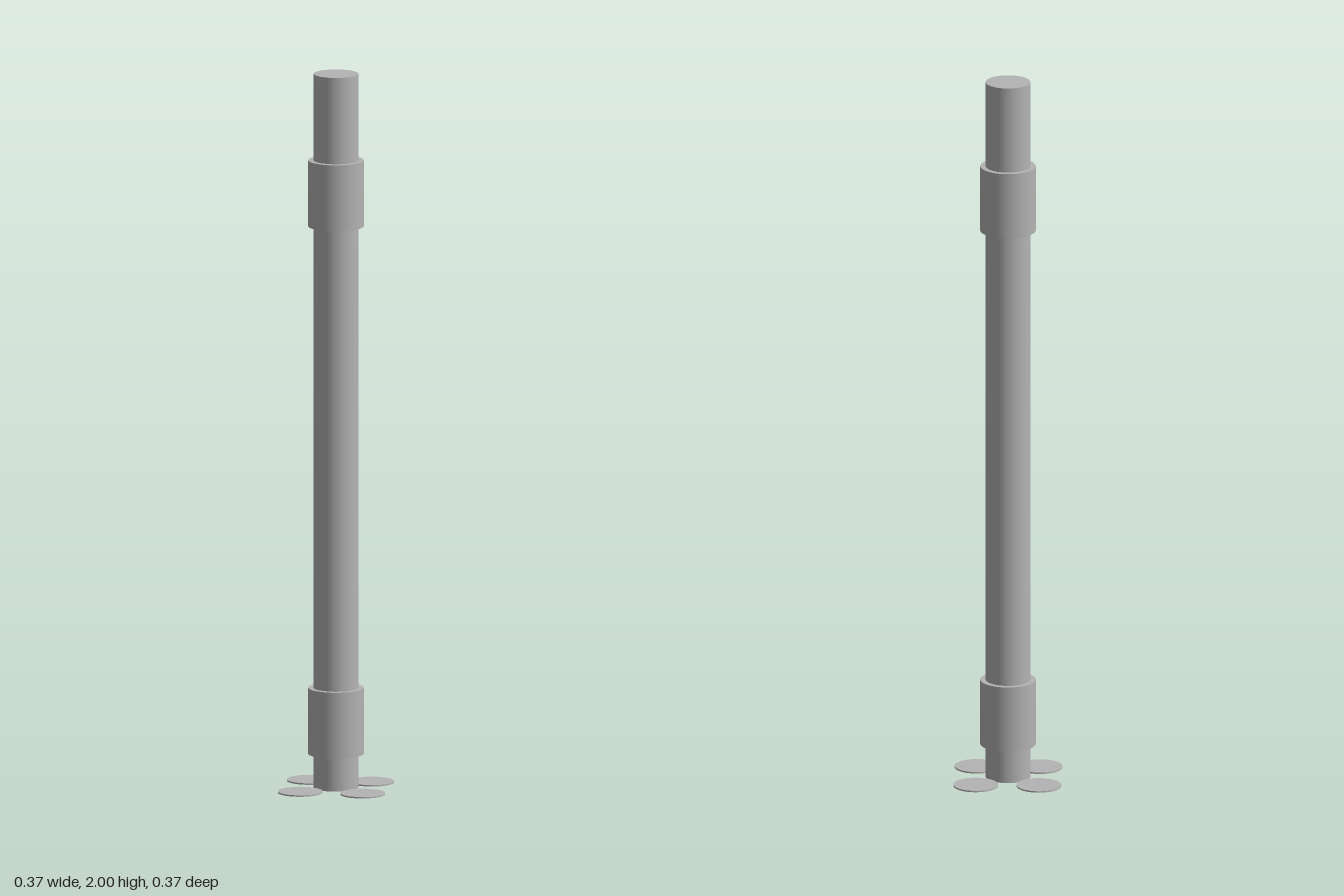
import * as THREE from 'three';

export function createModel() {
  const group = new THREE.Group();
  const steel = new THREE.MeshStandardMaterial({ color: 0xb4b4b4 });
  steel.name = 'light grey steel';

  // Upright cylinder spanning y0 to y1
  const addCylinder = (name, radius, y0, y1, x = 0, z = 0) => {
    const mesh = new THREE.Mesh(new THREE.CylinderGeometry(radius, radius, y1 - y0, 64), steel);
    mesh.name = name;
    mesh.position.set(x, (y0 + y1) / 2, z);
    group.add(mesh);
  };

  // Main post
  addCylinder('post', 0.0615, 0, 2);

  // Two collars around the post
  addCylinder('lowerCollar', 0.0765, 0.095, 0.28);
  addCylinder('upperCollar', 0.0765, 1.573, 1.758);

  // Four thin foot discs touching the post
  const reach = 0.123;
  [['leftFoot', 1, 0], ['rightFoot', -1, 0], ['frontFoot', 0, 1], ['backFoot', 0, -1]].forEach(
    ([name, x, z]) => addCylinder(name, 0.0615, 0, 0.004, x * reach, z * reach)
  );

  return group;
}
